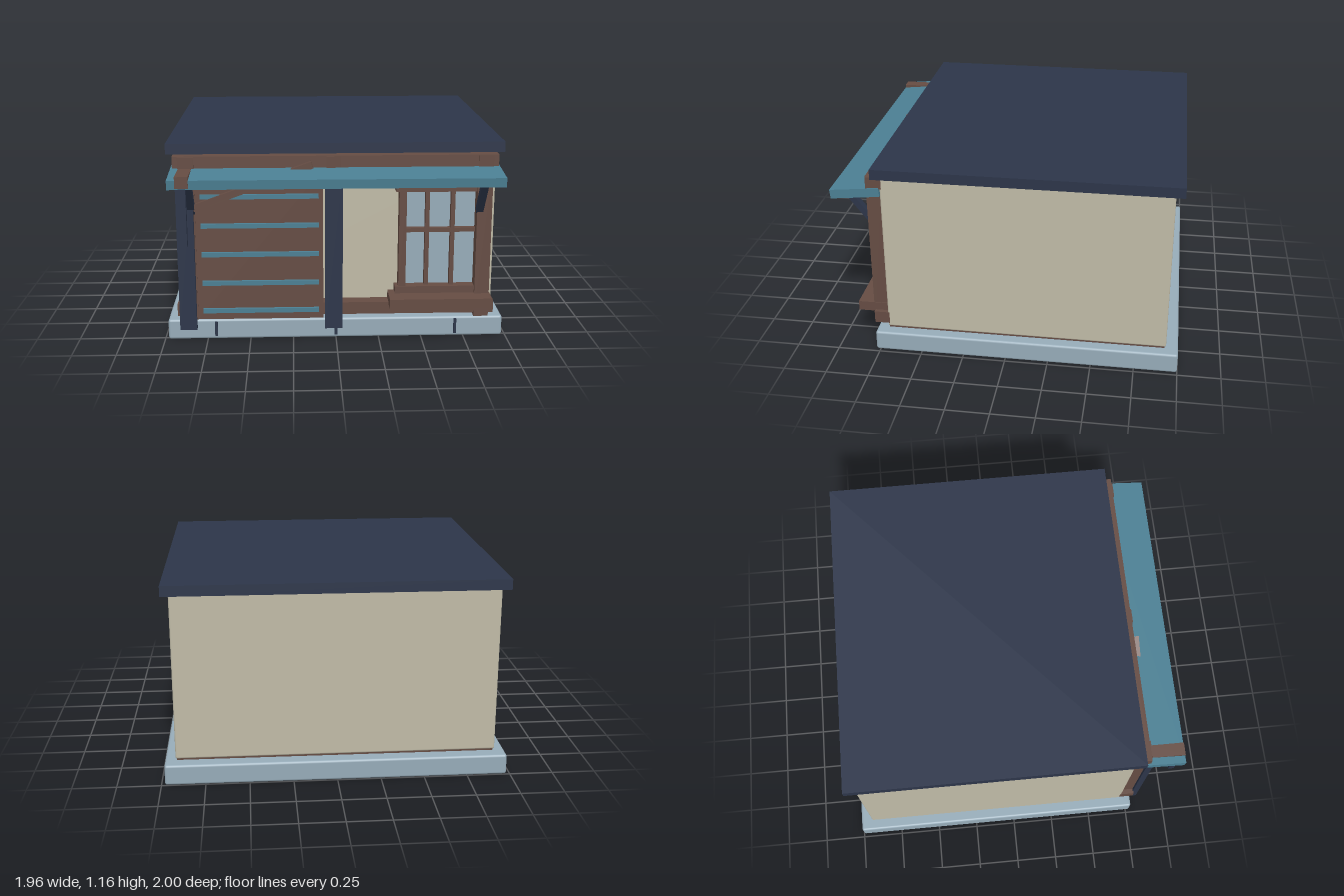
import * as THREE from 'three';
import { RoundedBoxGeometry } from 'three/addons/geometries/RoundedBoxGeometry.js';

const material = (name, color) => {
  const m = new THREE.MeshStandardMaterial({ color });
  m.name = name;
  return m;
};

export function createModel() {
  const navy = material('navy', 0x2c3549);
  const cream = material('cream plaster', 0xbfbaa6);
  const brown = material('brown timber', 0x654c43);
  const teal = material('teal', 0x4b7f93);
  const stone = material('pale blue stone', 0x96abb8);
  const group = new THREE.Group();
  group.name = 'shopHouse';

  // Box given by its limits on each axis; a radius rounds its edges
  function box(name, mat, [x0, x1], [y0, y1], [z0, z1], radius = 0) {
    const size = [x1 - x0, y1 - y0, z1 - z0];
    const geometry = radius
      ? new RoundedBoxGeometry(...size, 2, radius)
      : new THREE.BoxGeometry(...size);
    const mesh = new THREE.Mesh(geometry, mat);
    mesh.name = name;
    mesh.position.set((x0 + x1) / 2, (y0 + y1) / 2, (z0 + z1) / 2);
    group.add(mesh);
    return mesh;
  }

  // Foundation, walls and roof
  box('foundation', stone, [-0.98, 0.98], [0, 0.12], [-1, 0.775], 0.014);
  box('floorPlate', brown, [-0.912, 0.912], [0.115, 0.135], [-0.922, 0.705]);
  box('walls', cream, [-0.92, 0.92], [0.13, 1.1], [-0.93, 0.71], 0.01);
  box('roof', navy, [-0.96, 0.96], [1.1, 1.16], [-0.98, 0.75]);
  for (const x of [-0.7, 0, 0.7]) {
    box('foundationJoint', navy, [x - 0.008, x + 0.008], [0.02, 0.108], [0.77, 0.785]);
  }

  // Timber frame on the front
  box('topBeam', brown, [-0.92, 0.92], [1.025, 1.095], [0.7, 0.79]);
  box('bottomBeam', brown, [-0.92, 0.92], [0.15, 0.222], [0.7, 0.79]);
  for (const [x0, x1] of [[-0.89, -0.8], [-0.055, 0.025], [0.805, 0.89]]) {
    box('framePost', brown, [x0, x1], [0.13, 1.09], [0.7, 0.797]);
  }
  for (const [x0, x1] of [[-0.905, -0.808], [-0.065, 0.036]]) {
    box('outerPost', navy, [x0, x1], [0.075, 1.02], [0.785, 0.823]);
  }

  // Slatted door
  box('door', brown, [-0.8, -0.075], [0.13, 1.02], [0.7, 0.793]);
  for (const y of [0.185, 0.353, 0.525, 0.695, 0.865]) {
    box('doorSlat', teal, [-0.77, -0.1], [y - 0.013, y + 0.013], [0.78, 0.81]);
  }

  // Window
  box('windowGlass', stone, [0.39, 0.81], [0.29, 0.9], [0.709, 0.718]);
  box('windowJamb', brown, [0.362, 0.404], [0.27, 0.94], [0.705, 0.775]);
  box('windowHead', brown, [0.342, 0.81], [0.878, 0.92], [0.705, 0.78]);
  box('windowBottomRail', brown, [0.342, 0.81], [0.27, 0.312], [0.705, 0.78]);
  box('windowSill', brown, [0.305, 0.895], [0.212, 0.27], [0.705, 0.89]);
  for (const x of [0.526, 0.673]) {
    box('windowMullion', brown, [x - 0.012, x + 0.012], [0.3, 0.89], [0.71, 0.755]);
  }
  box('windowBar', brown, [0.4, 0.81], [0.632, 0.656], [0.71, 0.752]);

  // Awning sloping down to the front
  const awning = box('awning', teal, [-0.93, 0.926], [0.968, 1.021], [0.712, 0.997]);
  awning.rotation.x = 0.1;

  // Awning struts
  for (const x of [-0.82, 0.82]) {
    const strut = box('awningStrut', navy, [x - 0.02, x + 0.02], [0.735, 1.025], [0.847, 0.882]);
    strut.rotation.x = 0.65;
  }

  // Hanging arm at the left end and the diagonal brace
  box('hangingArm', brown, [-0.886, -0.812], [0.962, 1.027], [0.8, 0.999]);
  box('hangingPost', navy, [-0.87, -0.828], [0.632, 0.965], [0.958, 0.994]);
  const brace = box('diagonalBrace', brown, [-0.83, -0.115], [0.905, 0.945], [0.79, 0.823]);
  brace.rotation.z = 0.352;
  return group;
}
